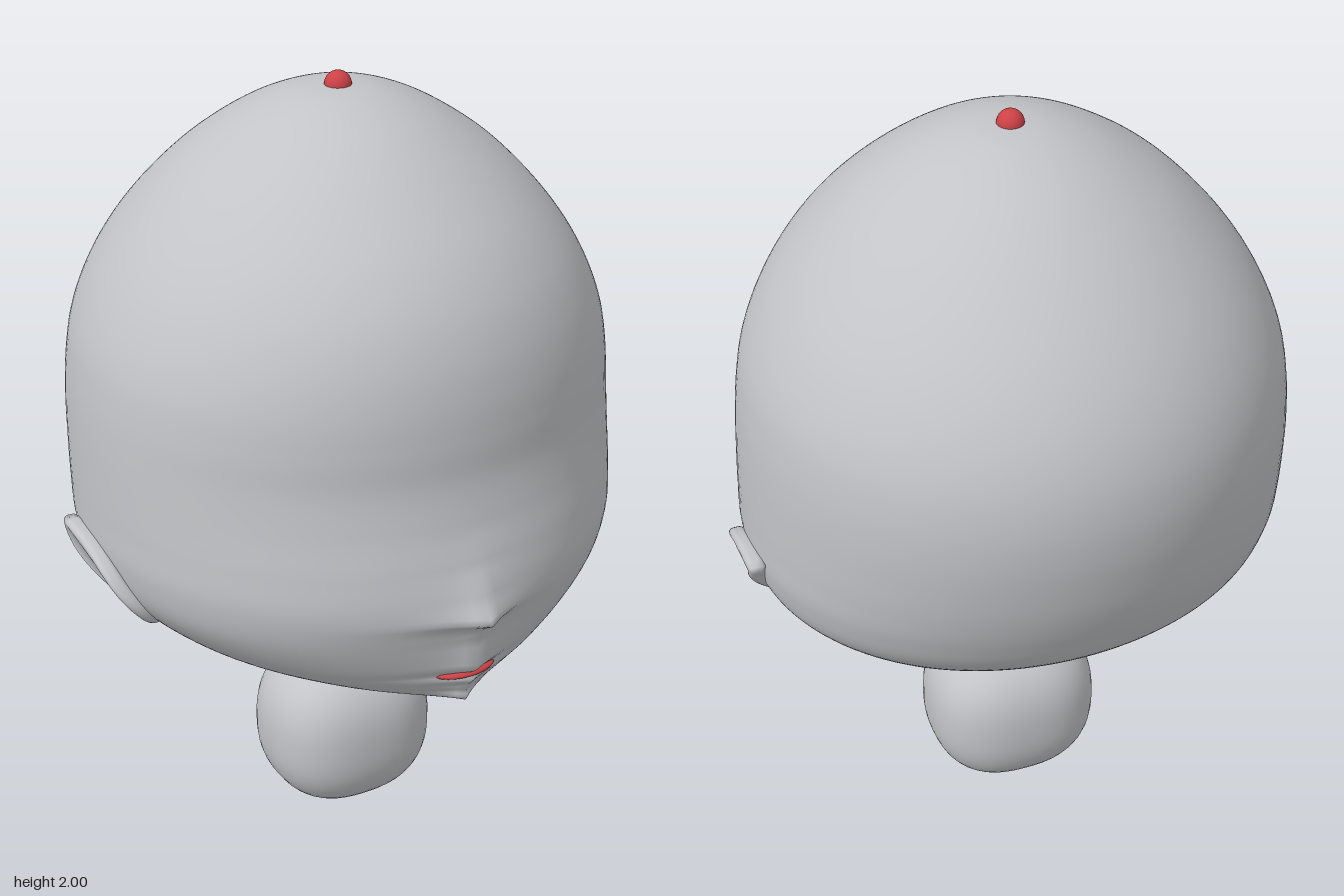
import * as THREE from 'three';
import { mergeVertices } from 'three/addons/utils/BufferGeometryUtils.js';

const AXIS_Z = -0.03; // depth of the vertical centre line

// Head cross-sections from neck to crown: height, half width, back z, front z
const SECTIONS = [
  [0.435, 0.072, -0.105, 0.048], [0.47, 0.073, -0.105, 0.05], [0.5, 0.095, -0.113, 0.085],
  [0.525, 0.14, -0.13, 0.2], [0.56, 0.225, -0.165, 0.375], [0.6, 0.335, -0.26, 0.5],
  [0.64, 0.435, -0.36, 0.56], [0.7, 0.55, -0.465, 0.595], [0.8, 0.645, -0.57, 0.63],
  [0.9, 0.677, -0.626, 0.65], [1.0, 0.68, -0.665, 0.64], [1.1, 0.679, -0.69, 0.618],
  [1.2, 0.676, -0.706, 0.602], [1.3, 0.668, -0.709, 0.6], [1.4, 0.65, -0.695, 0.592],
  [1.5, 0.612, -0.66, 0.57], [1.6, 0.556, -0.602, 0.527], [1.7, 0.48, -0.52, 0.455],
  [1.8, 0.383, -0.415, 0.35], [1.88, 0.275, -0.307, 0.245], [1.93, 0.183, -0.213, 0.153],
  [1.96, 0.093, -0.123, 0.063], [1.97, 0, AXIS_Z, AXIS_Z],
];

// Height and push-out of the centre ridge: chin, lips, nose tip, bridge
const RIDGE = [
  [0.585, 0], [0.61, 0.085], [0.635, 0.05], [0.66, 0.04], [0.68, 0.05], [0.7, 0.03],
  [0.72, 0.05], [0.8, 0.028], [0.845, 0.03], [0.875, 0.07], [0.92, 0.035], [1.0, 0.008], [1.08, 0],
];

function ridgeAt(y) {
  for (let i = 1; i < RIDGE.length; i++) {
    const [y0, a] = RIDGE[i - 1], [y1, b] = RIDGE[i];
    if (y >= y0 && y <= y1) return a + ((b - a) * (y - y0)) / (y1 - y0);
  }
  return 0;
}

function headGeometry() {
  const widths = new THREE.CatmullRomCurve3(
    SECTIONS.map(([y, w]) => new THREE.Vector3(w, y, 0)), false, 'catmullrom', 0.5);
  const depths = new THREE.CatmullRomCurve3(
    SECTIONS.map(([y, , b, f]) => new THREE.Vector3(b, y, f)), false, 'catmullrom', 0.5);
  const rows = (SECTIONS.length - 1) * 8, around = 128;
  const positions = [], index = [];
  for (let r = 0; r <= rows; r++) {
    const { x: w, y } = widths.getPoint(r / rows);
    const { x: back, z: front } = depths.getPoint(r / rows);
    for (let i = 0; i < around; i++) {
      const a = (i / around) * Math.PI * 2;
      const x = w * Math.cos(a), s = Math.sin(a);
      let z = AXIS_Z + s * (s > 0 ? front - AXIS_Z : AXIS_Z - back);
      if (s > 0) z += ridgeAt(y) * Math.exp(-Math.abs(x) / 0.085) * s;
      positions.push(x, y, z);
      if (r < rows) {
        const p = r * around + i, q = r * around + ((i + 1) % around);
        index.push(p, p + around, q, q, p + around, q + around);
      }
    }
  }
  const g = new THREE.BufferGeometry();
  g.setAttribute('position', new THREE.Float32BufferAttribute(positions, 3));
  g.setIndex(index);
  g.computeVertexNormals();
  return g;
}

// Teardrop plate with rounded rim, leaning outwards towards the top
function earGeometry(side) {
  const outline = [[-0.125, 0.93], [-0.01, 0.92], [0.08, 0.88], [0.125, 0.81],
    [0.11, 0.75], [0.04, 0.74], [-0.02, 0.775], [-0.075, 0.85]];
  const curve = new THREE.SplineCurve(
    [...outline, outline[0]].map(([z, y]) => new THREE.Vector2(-side * z, y)));
  const shape = new THREE.Shape(curve.getPoints(48).slice(0, -1));
  let g = new THREE.ExtrudeGeometry(shape, {
    depth: 0.012, bevelEnabled: true, bevelThickness: 0.016, bevelSize: 0.014, bevelSegments: 5,
  });
  const p = g.attributes.position;
  for (let i = 0; i < p.count; i++) {
    const u = p.getX(i), y = p.getY(i), t = p.getZ(i);
    const lean = 0.575 + 0.115 * Math.sin(Math.min(1, Math.max(0, (y - 0.73) / 0.2)) * Math.PI / 2);
    p.setXYZ(i, side * lean + t - 0.006, y, -side * u);
    if (side < 0) p.setX(i, -lean - t + 0.006);
    else p.setX(i, lean + t - 0.006);
  }
  g.deleteAttribute('normal');
  g.deleteAttribute('uv');
  g = mergeVertices(g, 1e-4);
  g.computeVertexNormals();
  return g;
}

// Sphere swollen towards a rounded cube
function bodyGeometry() {
  const g = new THREE.SphereGeometry(1, 48, 32);
  const p = g.attributes.position, v = new THREE.Vector3(), e = 2.5;
  for (let i = 0; i < p.count; i++) {
    v.fromBufferAttribute(p, i);
    const n = (Math.abs(v.x) ** e + Math.abs(v.y) ** e + Math.abs(v.z) ** e) ** (1 / e);
    v.divideScalar(n);
    p.setXYZ(i, v.x * 0.222, v.y * 0.215, v.z * 0.193);
  }
  g.computeVertexNormals();
  return g;
}

export function createModel() {
  const group = new THREE.Group();
  const grey = new THREE.MeshStandardMaterial({ color: 0xc2c4c7 });
  grey.name = 'grey';
  const red = new THREE.MeshStandardMaterial({ color: 0xcc4246 });
  red.name = 'red';

  const add = (name, geometry, material, x = 0, y = 0, z = 0) => {
    const mesh = new THREE.Mesh(geometry, material);
    mesh.name = name;
    mesh.position.set(x, y, z);
    group.add(mesh);
    return mesh;
  };

  add('head', headGeometry(), grey);
  add('leftEar', earGeometry(1), grey);
  add('rightEar', earGeometry(-1), grey);
  add('body', bodyGeometry(), grey, 0, 0.217, -0.012);

  // Small red details
  add('crownBead', new THREE.SphereGeometry(0.033, 24, 16), red, 0, 1.967, AXIS_Z);
  add('mouth', new THREE.SphereGeometry(1, 24, 12), red, 0, 0.695, 0.585).scale.set(0.085, 0.014, 0.047);

  return group;
}
